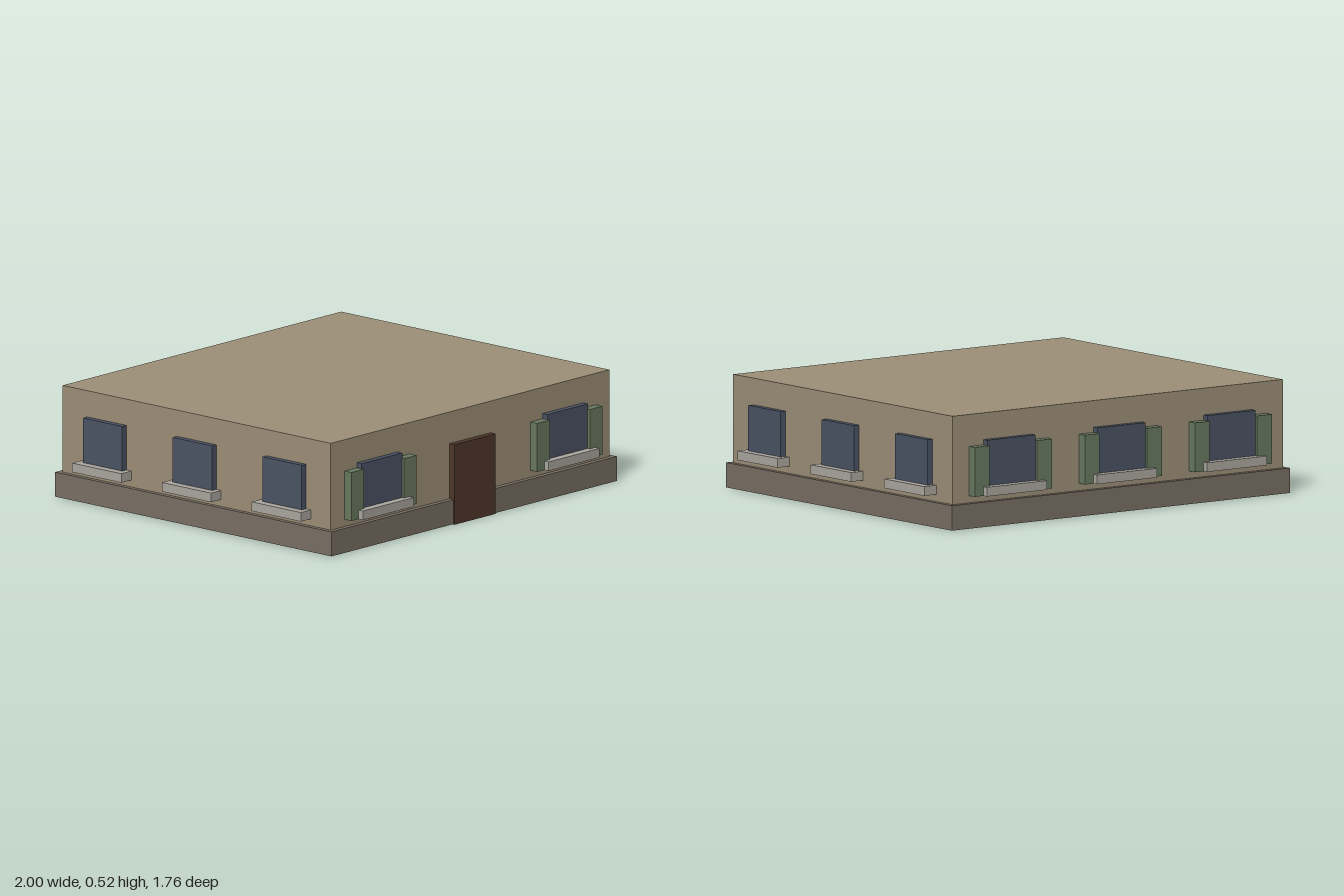
import * as THREE from 'three';

const material = (name, color) => {
  const m = new THREE.MeshStandardMaterial({ color });
  m.name = name;
  return m;
};

export function createModel() {
  const wallTan = material('wall tan', 0x9e9078);
  const plinthGrey = material('plinth grey', 0x7a7064);
  const glassBlue = material('glass blue', 0x4b5364);
  const sillStone = material('sill stone', 0xaca8a0);
  const shutterGreen = material('shutter green', 0x697a60);
  const doorBrown = material('door brown', 0x50372b);

  const model = new THREE.Group();
  model.name = 'house';

  // Box given by its x, y and z ranges
  const box = (name, mat, [x0, x1], [y0, y1], [z0, z1], parent = model) => {
    const mesh = new THREE.Mesh(new THREE.BoxGeometry(x1 - x0, y1 - y0, z1 - z0), mat);
    mesh.position.set((x0 + x1) / 2, (y0 + y1) / 2, (z0 + z1) / 2);
    mesh.name = name;
    parent.add(mesh);
  };

  const wallX = 0.932, wallZ = 0.811;

  // Main block, with the plinth lifted a hair so the undersides do not coincide
  box('walls', wallTan, [-wallX, wallX], [0, 0.516], [-wallZ, wallZ]);
  box('plinth', plinthGrey, [-0.955, 0.955], [0.002, 0.115], [-0.836, 0.836]);
  box('door', doorBrown, [-0.137, 0.137], [0, 0.37], [wallZ - 0.02, 0.842]);

  // Window unit facing +z, with its origin on the wall face
  const addWindow = (name, x, z, angle, halfWidth, shutters) => {
    const unit = new THREE.Group();
    unit.name = name;
    const sillHalf = halfWidth * 1.25;
    box('windowPane', glassBlue, [-halfWidth, halfWidth], [0.168, 0.395], [-0.02, 0.029], unit);
    box('windowSill', sillStone, [-sillHalf, sillHalf], [0.147, 0.189], [-0.02, 0.068], unit);
    if (shutters) {
      for (const s of [-1, 1]) {
        const c = s * 0.176;
        box('shutter', shutterGreen, [c - 0.042, c + 0.042], [0.147, 0.371], [-0.02, 0.042], unit);
      }
    }
    unit.position.set(x, 0, z);
    unit.rotation.y = angle;
    model.add(unit);
  };

  // Shuttered windows: two beside the door, three at the back
  for (const x of [-0.621, 0.621]) addWindow('frontWindow', x, wallZ, 0, 0.136, true);
  for (const x of [-0.621, 0, 0.621]) addWindow('backWindow', x, -wallZ, Math.PI, 0.136, true);

  // Plain windows along both sides
  for (const side of [-1, 1]) {
    for (const z of [-0.543, 0, 0.543]) {
      addWindow('sideWindow', side * wallX, z, side * Math.PI / 2, 0.119, false);
    }
  }

  return model;
}
